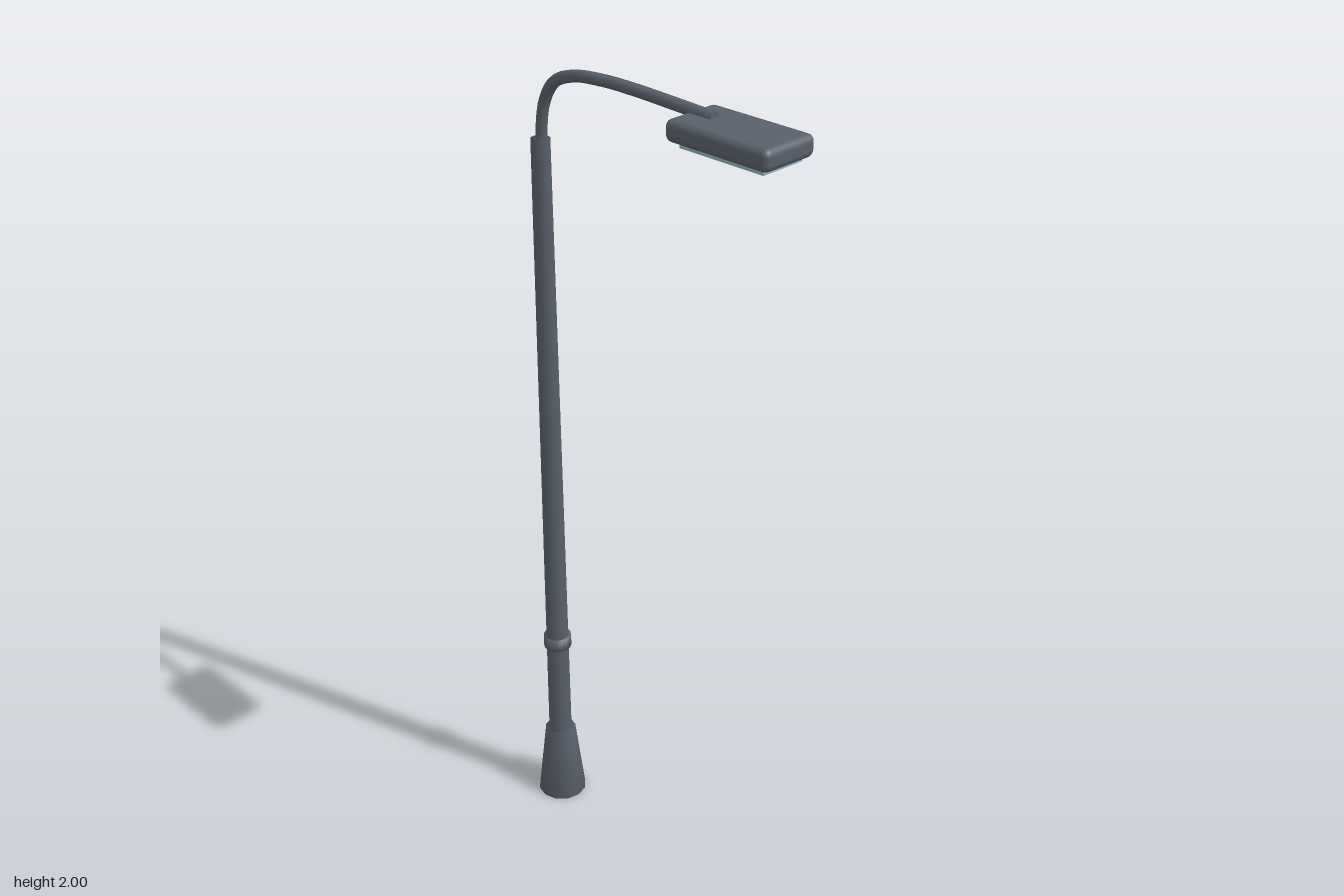
import * as THREE from 'three';
import { RoundedBoxGeometry } from 'three/addons/geometries/RoundedBoxGeometry.js';
import { mergeVertices } from 'three/addons/utils/BufferGeometryUtils.js';

const POLE_Z = -0.32;

// Cylinder shaded smoothly across its rims
function softCylinder(rTop, rBottom, height, sides) {
  const geometry = new THREE.CylinderGeometry(rTop, rBottom, height, sides);
  geometry.deleteAttribute('normal');
  geometry.deleteAttribute('uv');
  const merged = mergeVertices(geometry);
  merged.computeVertexNormals();
  return merged;
}

export function createModel() {
  const group = new THREE.Group();
  const metal = new THREE.MeshStandardMaterial({ color: 0x59606a });
  metal.name = 'dark grey metal';
  const glass = new THREE.MeshStandardMaterial({ color: 0x8fb3ba });
  glass.name = 'lamp glass';

  const add = (name, geometry, material, x = 0, y = 0, z = 0) => {
    const mesh = new THREE.Mesh(geometry, material);
    mesh.name = name;
    mesh.position.set(x, y, z);
    group.add(mesh);
  };

  // Upright sections: name, bottom y, top y, bottom radius, top radius, sides
  const sections = [
    ['base', 0, 0.2, 0.063, 0.04, 12],
    ['pole', 0.19, 1.816, 0.03, 0.022, 12],
    ['collar', 0.47, 0.502, 0.035, 0.035, 16],
  ];
  for (const [name, y0, y1, r0, r1, sides] of sections) {
    add(name, softCylinder(r1, r0, y1 - y0, sides), metal, 0, (y0 + y1) / 2, POLE_Z);
  }

  // Curved arm reaching forward over the lamp head, with a closed end
  const path = new THREE.CatmullRomCurve3([
    [1.78, -0.318], [1.84, -0.315], [1.9, -0.303], [1.95, -0.27],
    [1.975, -0.21], [1.985, -0.12], [1.986, -0.03], [1.983, 0.08], [1.979, 0.185],
  ].map(([y, z]) => new THREE.Vector3(0, y, z)));
  const armRadius = 0.0132;
  add('arm', new THREE.TubeGeometry(path, 40, armRadius, 12), metal);
  add('armEnd', new THREE.CircleGeometry(armRadius, 12), metal, 0, 1.979, 0.185);

  // Flat lamp head with a glass plate underneath
  add('lampHead', new RoundedBoxGeometry(0.144, 0.047, 0.265, 3, 0.016), metal, 0, 1.956, 0.248);
  add('lampGlass', new THREE.BoxGeometry(0.112, 0.009, 0.215), glass, 0, 1.9285, 0.253);

  return group;
}
